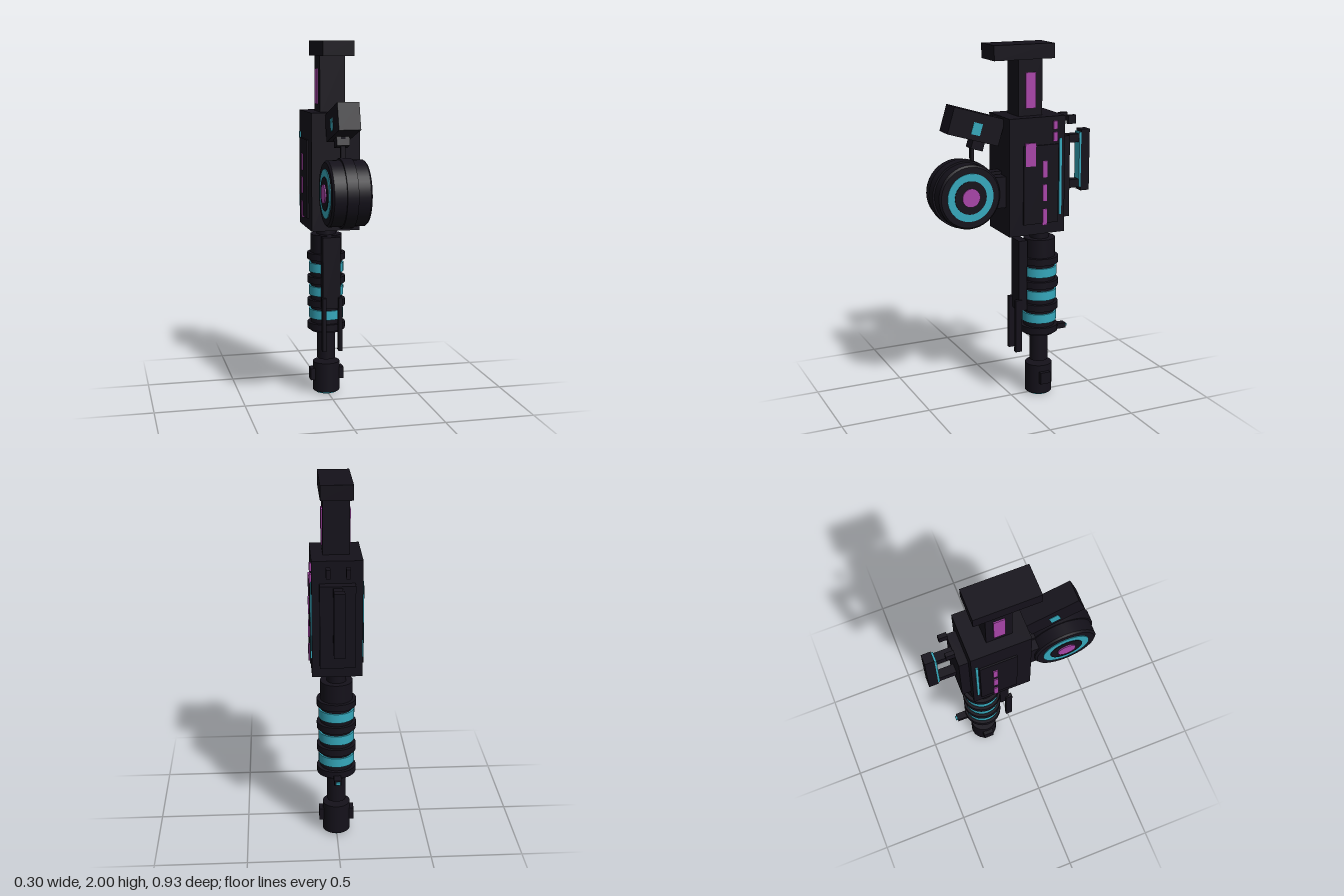
import * as THREE from 'three';

const DARK = new THREE.MeshStandardMaterial({ color: 0x14111a });
const TEAL = new THREE.MeshStandardMaterial({ color: 0x35a8bc });
const PURPLE = new THREE.MeshStandardMaterial({ color: 0xa844a8 });

export function createModel() {
  const model = new THREE.Group();
  model.name = 'blaster';

  const add = (name, geometry, material, parent = model) => {
    const mesh = new THREE.Mesh(geometry, material);
    mesh.name = name;
    parent.add(mesh);
    return mesh;
  };
  // Box from its limits on each axis
  const box = (name, [x0, x1], [y0, y1], [z0, z1], material = DARK, parent = model) => {
    const mesh = add(name, new THREE.BoxGeometry(x1 - x0, y1 - y0, z1 - z0), material, parent);
    mesh.position.set((x0 + x1) / 2, (y0 + y1) / 2, (z0 + z1) / 2);
    return mesh;
  };
  // The same box on both sides
  const pair = (name, [x0, x1], y, z, material = DARK) => {
    box(name + 'Left', [x0, x1], y, z, material);
    box(name + 'Right', [-x1, -x0], y, z, material);
  };
  // Upright cylinder on the barrel axis
  const AXIS = -0.172;
  const drum = (name, r, [y0, y1], material = DARK) => {
    const mesh = add(name, new THREE.CylinderGeometry(r, r, y1 - y0, 32), material);
    mesh.position.set(0, (y0 + y1) / 2, AXIS);
  };

  // Stock
  box('stockButt', [-0.085, 0.085], [1.92, 2], [-0.215, 0.135]);
  box('stockNeck', [-0.07, 0.07], [1.6, 1.92], [-0.15, -0.01]);
  pair('stockLight', [0.068, 0.077], [1.66, 1.85], [-0.11, -0.05], PURPLE);

  // Body with side plates and lights
  box('body', [-0.133, 0.133], [0.98, 1.62], [-0.257, 0.07]);
  pair('sidePlate', [0.13, 0.142], [1.04, 1.47], [-0.215, -0.01]);
  pair('sideStrip', [0.13, 0.139], [1.08, 1.5], [-0.236, -0.222], TEAL);
  for (const y of [1.03, 1.165, 1.295]) {
    pair('sideDash', [0.13, 0.148], [y, y + 0.09], [-0.145, -0.12], PURPLE);
  }
  box('squareLight', [0.13, 0.144], [1.36, 1.485], [-0.08, -0.02], PURPLE);
  box('upperDash', [0.13, 0.143], [1.55, 1.595], [-0.208, -0.184], PURPLE);
  box('lowerDash', [0.13, 0.143], [1.485, 1.535], [-0.208, -0.184], PURPLE);

  // Back plate and carrying rail
  box('backPlate', [-0.093, 0.093], [1.05, 1.5], [-0.308, -0.25]);
  for (const y of [1.19, 1.445]) {
    box('railPost', [-0.024, 0.024], [y, y + 0.046], [-0.415, -0.3]);
  }
  box('rail', [-0.028, 0.028], [1.17, 1.515], [-0.465, -0.413]);
  box('railStrip', [-0.028, 0.028], [1.19, 1.5], [-0.413, -0.402], TEAL);
  pair('rearSight', [0.04, 0.063], [1.557, 1.605], [-0.36, -0.312]);

  // Round magazine, built along y and laid on its side
  const magazine = new THREE.Group();
  magazine.name = 'drumMagazine';
  magazine.position.set(0, 1.215, 0.283);
  magazine.rotation.z = -Math.PI / 2;
  model.add(magazine);
  const profile = [
    [0, -0.105], [0.164, -0.105], [0.174, -0.095], [0.174, -0.03], [0.184, -0.03],
    [0.184, 0.03], [0.174, 0.03], [0.174, 0.095], [0.164, 0.105], [0, 0.105],
  ];
  // Separate segments keep the profile edges sharp
  for (let i = 1; i < profile.length; i++) {
    const points = [profile[i - 1], profile[i]].map((p) => new THREE.Vector2(...p));
    add('magazineShell', new THREE.LatheGeometry(points, 40), DARK, magazine);
  }
  for (const side of [-1, 1]) {
    const disc = (name, r, reach, material) => {
      const mesh = add(name, new THREE.CylinderGeometry(r, r, 0.02, 40), material, magazine);
      mesh.position.y = side * (reach - 0.01);
    };
    disc('magazineRing', 0.13, 0.109, TEAL);
    disc('magazineHub', 0.09, 0.112, DARK);
    disc('magazineLight', 0.05, 0.119, PURPLE);
  }
  box('magazineMount', [-0.086, 0.086], [1.135, 1.305], [0.06, 0.15]);
  box('magazineBracket', [-0.03, 0.03], [1.308, 1.325], [0.06, 0.16]);
  box('scopeStrut', [-0.012, 0.012], [1.36, 1.54], [0.222, 0.24]);

  // Tilted scope
  const scope = new THREE.Group();
  scope.name = 'scope';
  scope.position.set(0, 1.58, 0.225);
  scope.rotation.x = -0.29;
  model.add(scope);
  box('scopeHousing', [-0.058, 0.058], [-0.073, 0.073], [-0.15, 0.15], DARK, scope);
  box('scopeLight', [-0.061, 0.061], [-0.043, 0.022], [-0.03, 0.022], TEAL, scope);
  box('scopeFoot', [-0.035, 0.035], [-0.12, -0.07], [-0.08, -0.01], DARK, scope);

  // Barrel with flanges and glowing bands
  drum('barrelCollar', 0.053, [0.9, 1]);
  drum('barrelSleeve', 0.088, [0.365, 0.925]);
  for (const y of [0.378, 0.513, 0.647, 0.782]) drum('barrelFlange', 0.107, [y, y + 0.038]);
  for (const y of [0.442, 0.576, 0.71]) drum('barrelBand', 0.098, [y, y + 0.052], TEAL);
  drum('barrelTip', 0.052, [0.2, 0.37]);
  box('barrelRail', [-0.05, 0.05], [0.52, 0.925], [-0.075, -0.025]);
  pair('railFork', [0.035, 0.057], [0.28, 0.585], [-0.042, -0.003]);

  // Small sensor behind the barrel
  box('sensor', [-0.02, 0.02], [0.365, 0.395], [-0.335, -0.25]);
  box('sensorLight', [-0.012, 0.012], [0.373, 0.387], [-0.345, -0.335], TEAL);

  // Muzzle
  drum('muzzle', 0.076, [0.01, 0.18]);
  drum('muzzleLight', 0.062, [0, 0.02], TEAL);
  pair('muzzleLug', [0.06, 0.096], [0.075, 0.143], [AXIS - 0.03, AXIS + 0.03]);

  return model;
}
